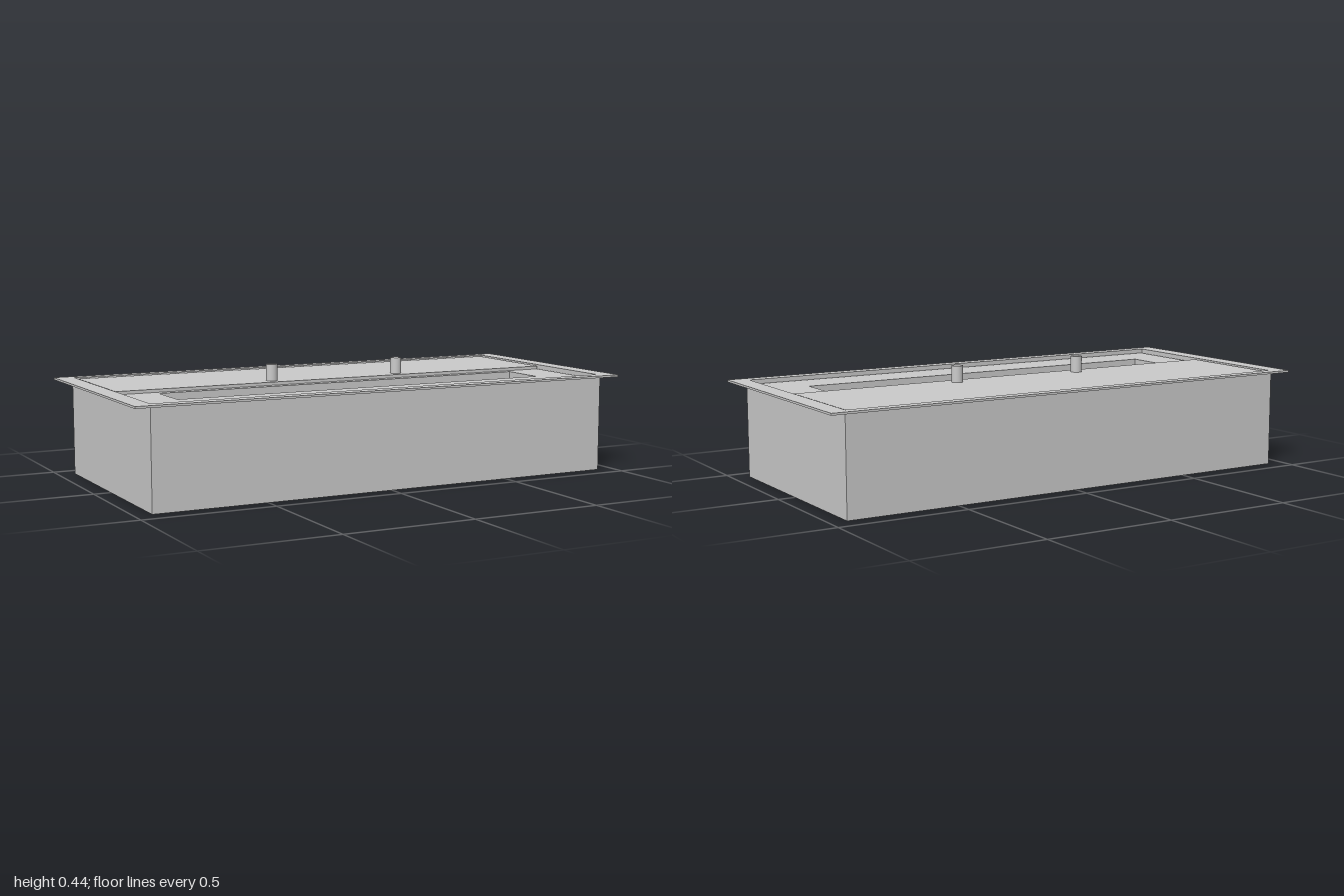
import * as THREE from 'three';

const material = new THREE.MeshStandardMaterial({ color: 0xcccccc, side: THREE.DoubleSide });

export function createModel() {
  const model = new THREE.Group();

  const add = (name, geometry, x = 0, y = 0, z = 0) => {
    const mesh = new THREE.Mesh(geometry, material);
    mesh.name = name;
    mesh.position.set(x, y, z);
    model.add(mesh);
    return mesh;
  };

  // block between two limits on each axis
  const block = (name, x0, x1, y0, y1, z0, z1) =>
    add(name, new THREE.BoxGeometry(x1 - x0, y1 - y0, z1 - z0),
      (x0 + x1) / 2, (y0 + y1) / 2, (z0 + z1) / 2);

  const corners = (x0, x1, z0, z1) => [
    new THREE.Vector2(x0, -z0), new THREE.Vector2(x1, -z0),
    new THREE.Vector2(x1, -z1), new THREE.Vector2(x0, -z1),
  ];

  // horizontal frame: outer and inner limits are [x0, x1, z0, z1]
  const frame = (name, outer, inner, y0, y1) => {
    const shape = new THREE.Shape(corners(...outer));
    shape.holes.push(new THREE.Path(corners(...inner)));
    const geometry = new THREE.ExtrudeGeometry(shape, { depth: y1 - y0, bevelEnabled: false });
    geometry.rotateX(-Math.PI / 2);
    return add(name, geometry, 0, y0, 0);
  };

  // casing and the flat rim around its top
  const opening = [-0.93, 0.93, -0.422, 0.416];
  const slot = [-0.765, 0.76, 0.06, 0.245];
  block('casingFloor', -0.935, 0.935, 0, 0.01, -0.432, 0.432);
  frame('casingWalls', [-0.935, 0.935, -0.432, 0.432], opening, 0.01, 0.37);
  frame('rim', [-1, 1, -0.463, 0.463], opening, 0.37, 0.378);

  // ledge at the bottom of the narrow gap inside the rim
  frame('ledge', opening, [-0.9, 0.9, -0.4, 0.4], 0.335, 0.34);

  // burner plate with its slot and the trough below
  frame('burnerPlate', [-0.918, 0.918, -0.41, 0.408], slot, 0.34, 0.362);
  frame('troughWalls', [-0.77, 0.765, 0.055, 0.25], slot, 0.175, 0.34);
  block('troughFloor', -0.77, 0.765, 0.165, 0.175, 0.055, 0.25);

  // sliding lid over the back half, with two knobs
  block('lid', -0.918, 0.918, 0.362, 0.374, -0.41, 0.028);
  for (const x of [-0.275, 0.27]) {
    add('knob', new THREE.CylinderGeometry(0.022, 0.022, 0.065, 32), x, 0.4045, -0.023);
  }

  // row of round-shouldered burner segments lying along the trough
  const profile = [new THREE.Vector2(0, -0.055), new THREE.Vector2(0.05, -0.055),
    new THREE.Vector2(0.078, 0)];
  for (let i = 1; i <= 6; i++) {
    const a = (i / 6) * Math.PI / 2;
    profile.push(new THREE.Vector2(0.043 + 0.035 * Math.cos(a), 0.035 * Math.sin(a)));
  }
  profile.push(new THREE.Vector2(0, 0.035));
  const segment = new THREE.LatheGeometry(profile, 32);
  segment.rotateZ(-Math.PI / 2);
  for (let i = 0; i < 15; i++) {
    add('burnerSegment', segment, -0.7 + i * 0.1, 0.255, 0.154);
  }

  // small tab at the front of the slot
  block('fillTab', -0.09, 0.09, 0.33, 0.337, 0.125, 0.248);

  return model;
}
